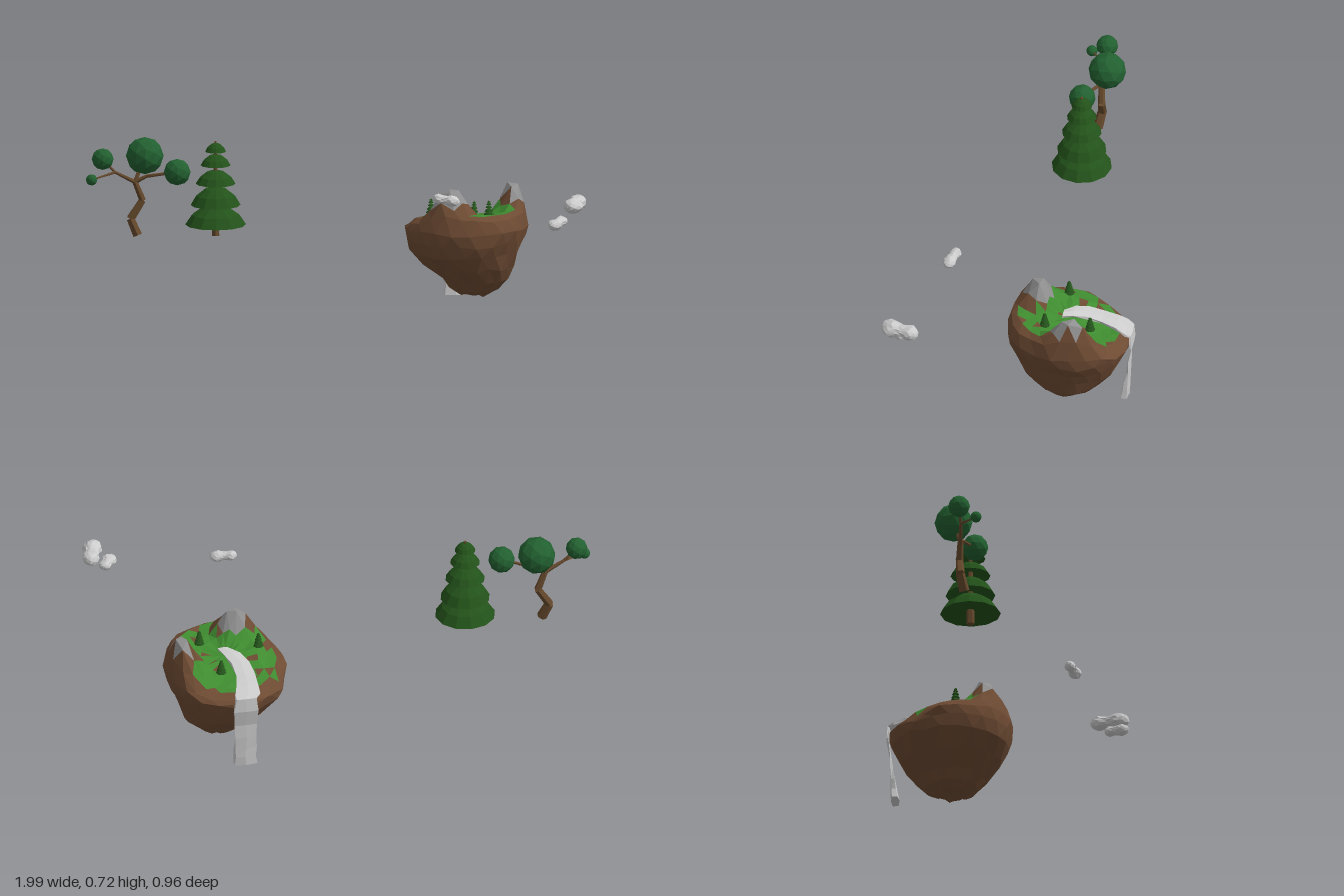
import * as THREE from 'three';

const mat = (color, side = THREE.FrontSide) => new THREE.MeshStandardMaterial({ color, flatShading: true, side });
const SOIL = mat(0x6e4b33), GRASS = mat(0x3f8c30), ROCK = mat(0x8f8f8f), PALE = mat(0xcccccc);
const NEEDLE = mat(0x23521a, THREE.DoubleSide), LEAF = mat(0x226030), BARK = mat(0x66492c);
const V = (x, y, z) => new THREE.Vector3(x, y, z);

// Repeatable noise in -1..1
const noise = (a, b = 0) => {
  const s = Math.sin(a * 127.1 + b * 311.7 + 4.3) * 43758.5453;
  return (s - Math.floor(s)) * 2 - 1;
};
const smooth = (a, b, x) => THREE.MathUtils.smoothstep(x, a, b);

function add(parent, name, geometry, material) {
  const m = new THREE.Mesh(geometry, material);
  m.name = name;
  parent.add(m);
  return m;
}

function fromTriangles(points) {
  const g = new THREE.BufferGeometry().setFromPoints(points);
  g.computeVertexNormals();
  return g;
}

// Tapered limb between two points
function limb(parent, name, a, b, ra, rb, sides = 6) {
  const g = new THREE.CylinderGeometry(rb, ra, a.distanceTo(b), sides);
  const m = add(parent, name, g, BARK);
  m.position.copy(a).add(b).multiplyScalar(0.5);
  m.quaternion.setFromUnitVectors(V(0, 1, 0), b.clone().sub(a).normalize());
}

// Terrain height: a meadow falling to the back, with two rocky peaks
const CX = 0.535, CZ = -0.225;
function ground(x, z) {
  const r = Math.hypot(x - CX, z - CZ) / 0.235;
  const peak = (px, pz, sx, sz, h) => h * Math.exp(-(((x - px) / sx) ** 2) - ((z - pz) / sz) ** 2);
  return 0.335 + 0.085 * smooth(-0.46, -0.2, z) - 0.04 * (1 - smooth(0.3, 0.42, x))
    - 0.03 * (1 - Math.min(1, r * r)) - 0.02 * smooth(0.88, 1, r)
    + peak(0.47, -0.09, 0.07, 0.055, 0.135) + peak(0.715, -0.275, 0.05, 0.085, 0.135);
}

// Floating island: one lofted surface sorted into soil, grass and rock
function island() {
  const group = new THREE.Group();
  group.name = 'island';
  const N = 22;
  // y, radius in x, radius in z, centre x
  const wall = [
    [0.063, 0, 0, 0.57], [0.068, 0.06, 0.065, 0.565], [0.09, 0.1, 0.105, 0.565], [0.13, 0.135, 0.14, 0.57],
    [0.19, 0.183, 0.2, 0.543], [0.25, 0.225, 0.236, 0.523], [0.3, 0.242, 0.248, 0.53], [0.345, 0.248, 0.25, 0.535],
  ];
  const tops = [1, 0.88, 0.74, 0.58, 0.4, 0.2, 0];
  const rings = [];
  wall.forEach(([y, rx, rz, cx], j) => rings.push(Array.from({ length: N }, (_, i) => {
    const a = (i + (j % 2) * 0.5) / N * Math.PI * 2, k = 1 + 0.025 * noise(i, j);
    const x = cx + rx * k * Math.cos(a), z = CZ + rz * k * Math.sin(a);
    const lump = j ? 0.008 * noise(j, i + 40) : 0;
    return V(x, Math.min(y + lump, ground(x, z) - 0.012 * (8 - j)), z);
  })));
  tops.forEach((f, j) => rings.push(Array.from({ length: N }, (_, i) => {
    const a = (i + (j % 2) * 0.5) / N * Math.PI * 2, k = f * 0.235 * (1 + 0.025 * noise(i, j + 20));
    const x = CX + k * Math.cos(a), z = CZ + k * Math.sin(a);
    return V(x, ground(x, z) + (f ? 0.005 * noise(i, j + 70) : 0), z);
  })));
  const sets = { soil: [], grass: [], rock: [] };
  const face = (j, p, q, r) => {
    const c = p.clone().add(q).add(r).divideScalar(3);
    const radius = Math.hypot(c.x - CX, c.z - CZ);
    let key = 'soil';
    if (c.y > 0.462) key = 'rock';
    else if (j >= wall.length && c.y < 0.435 && radius < 0.2 + 0.02 * noise(c.x, c.z) && noise(c.z, c.x) > -0.8) key = 'grass';
    sets[key].push(p, q, r);
  };
  for (let j = 0; j < rings.length - 1; j++) {
    const lo = rings[j], hi = rings[j + 1], s = j % 2;
    for (let i = 0; i < N; i++) {
      const n = (i + 1) % N;
      if (s) {
        face(j, lo[i], hi[n], lo[n]);
        face(j, lo[i], hi[i], hi[n]);
      } else {
        face(j, lo[i], hi[i], lo[n]);
        face(j, lo[n], hi[i], hi[n]);
      }
    }
  }
  add(group, 'islandSoil', fromTriangles(sets.soil), SOIL);
  add(group, 'islandGrass', fromTriangles(sets.grass), GRASS);
  add(group, 'islandPeaks', fromTriangles(sets.rock), ROCK);
  return group;
}

// Stream that crosses the meadow and drops over the back edge
function waterfall() {
  const path = [];
  // x, z, half width
  [[0.54, -0.2, 0.02], [0.505, -0.24, 0.034], [0.485, -0.29, 0.036], [0.475, -0.35, 0.035], [0.48, -0.41, 0.042], [0.49, -0.45, 0.05]]
    .forEach(([x, z, w]) => path.push([V(x, ground(x, z) + 0.012, z), w, 0.008]));
  // y, z, half thickness
  [[0.325, -0.472, 0.006], [0.27, -0.476, 0.005], [0.2, -0.464, 0.003], [0.14, -0.461, 0.006], [0.09, -0.455, 0.01], [0.05, -0.452, 0.013], [0.012, -0.447, 0.016]]
    .forEach(([y, z, t], i) => path.push([V(0.498, y, z), 0.047 + 0.006 * noise(i, 5), t]));
  const loops = path.map(([p, w, t], i) => {
    const d = path[Math.min(i + 1, path.length - 1)][0].clone().sub(path[Math.max(i - 1, 0)][0]);
    const up = V(0, -d.z, d.y).normalize();
    return [[-1, -1], [0, -1], [1, -1], [1, 1], [0, 1], [-1, 1]].map(([sx, sy], k) =>
      p.clone().add(V(sx * w + 0.005 * noise(i, k), 0, 0)).addScaledVector(up, sy * t * (sx ? 0.7 : 1.1)));
  });
  const tris = [];
  for (let i = 0; i < loops.length - 1; i++) {
    for (let k = 0; k < 6; k++) {
      const n = (k + 1) % 6, a = loops[i], b = loops[i + 1];
      tris.push(a[k], b[k], a[n], a[n], b[k], b[n]);
    }
  }
  for (let k = 1; k < 5; k++) {
    const a = loops[0], b = loops[loops.length - 1];
    tris.push(a[0], a[k], a[k + 1], b[0], b[k + 1], b[k]);
  }
  const material = PALE.clone();
  material.side = THREE.DoubleSide;
  const m = new THREE.Mesh(fromTriangles(tris), material);
  m.name = 'waterfall';
  return m;
}

// Fir: tapered trunk with stacked umbrella-shaped tiers; y, height, radius
const TIERS = [[0.045, 0.08, 0.122], [0.125, 0.075, 0.1], [0.212, 0.055, 0.08], [0.287, 0.045, 0.06], [0.343, 0.035, 0.042]];
function fir(name, position, scale = 1) {
  const g = new THREE.Group();
  g.name = name;
  limb(g, name + 'Trunk', V(0, 0, 0), V(0, 0.385, 0), 0.017, 0.005);
  TIERS.forEach(([y, h, r]) => {
    const profile = [[0.008, 0.016], [r, 0], [r * 0.78, h * 0.5], [r * 0.42, h * 0.88], [0.006, h]];
    add(g, name + 'Tier', new THREE.LatheGeometry(profile.map(([a, b]) => new THREE.Vector2(a, y + b)), 12), NEEDLE);
  });
  g.position.copy(position);
  g.scale.setScalar(scale);
  return g;
}

// Crooked tree with forked branches and faceted leaf balls
function crookedTree() {
  const g = new THREE.Group();
  g.name = 'crookedTree';
  const trunk = [V(-0.79, 0.335, -0.11), V(-0.818, 0.4, -0.125), V(-0.77, 0.475, -0.13), V(-0.8, 0.55, -0.125)];
  const radii = [0.021, 0.018, 0.015, 0.012];
  for (let i = 0; i < 3; i++) limb(g, 'crookedTrunk', trunk[i], trunk[i + 1], radii[i], radii[i + 1]);
  const fork = trunk[3], left = V(-0.88, 0.592, -0.12), right = V(-0.755, 0.575, -0.12);
  const balls = [[V(-0.76, 0.652, -0.155), 0.076], [V(-0.633, 0.6, -0.075), 0.054], [V(-0.93, 0.645, -0.125), 0.044], [V(-0.977, 0.575, -0.055), 0.023]];
  limb(g, 'branch', fork, left, 0.009, 0.006);
  limb(g, 'branch', left, balls[2][0], 0.006, 0.004);
  limb(g, 'branch', left, balls[3][0], 0.006, 0.003);
  limb(g, 'branch', fork, balls[0][0], 0.01, 0.006);
  limb(g, 'branch', fork, right, 0.009, 0.007);
  limb(g, 'branch', right, balls[1][0], 0.007, 0.005);
  balls.forEach(([p, r]) => add(g, 'leafBall', new THREE.IcosahedronGeometry(r, 1), LEAF).position.copy(p));
  return g;
}

// Cloud: lumpy faceted pebble with a narrow waist, stretched from a to b
function cloud(a, b, width, height, seed) {
  const geo = new THREE.IcosahedronGeometry(1, 2), p = geo.attributes.position;
  const half = a.distanceTo(b) / 2;
  for (let i = 0; i < p.count; i++) {
    const [x, y, z] = [p.getX(i), p.getY(i), p.getZ(i)];
    const key = Math.round(x * 50) + Math.round(y * 50) * 3 + Math.round(z * 50) * 7;
    const k = 1 + 0.09 * noise(key, seed);
    const swell = (0.8 + 0.5 * smooth(0.1, 0.6, Math.abs(z + 0.1))) * k;
    p.setXYZ(i, x * width * swell, y * height * swell, z * half * (1 + 0.03 * noise(key, seed + 1)));
  }
  geo.computeVertexNormals();
  const m = new THREE.Mesh(geo, PALE);
  m.name = 'cloud';
  m.position.copy(a).add(b).multiplyScalar(0.5);
  m.lookAt(b);
  return m;
}

export function createModel() {
  const model = new THREE.Group();
  model.name = 'floatingIslandScene';
  model.add(island(), waterfall(), crookedTree(), fir('fir', V(-0.478, 0.335, -0.1)));
  [[0.62, -0.14], [0.567, -0.315], [0.39, -0.2]].forEach(([x, z]) =>
    model.add(fir('tinyFir', V(x, ground(x, z) - 0.003, z), 0.17)));
  model.add(
    cloud(V(0.382, 0.556, 0.252), V(0.488, 0.541, 0.285), 0.024, 0.02, 1),
    cloud(V(0.97, 0.555, 0.315), V(0.925, 0.552, 0.473), 0.036, 0.029, 2),
    cloud(V(0.905, 0.488, 0.376), V(0.848, 0.477, 0.472), 0.026, 0.021, 3),
  );
  return model;
}
